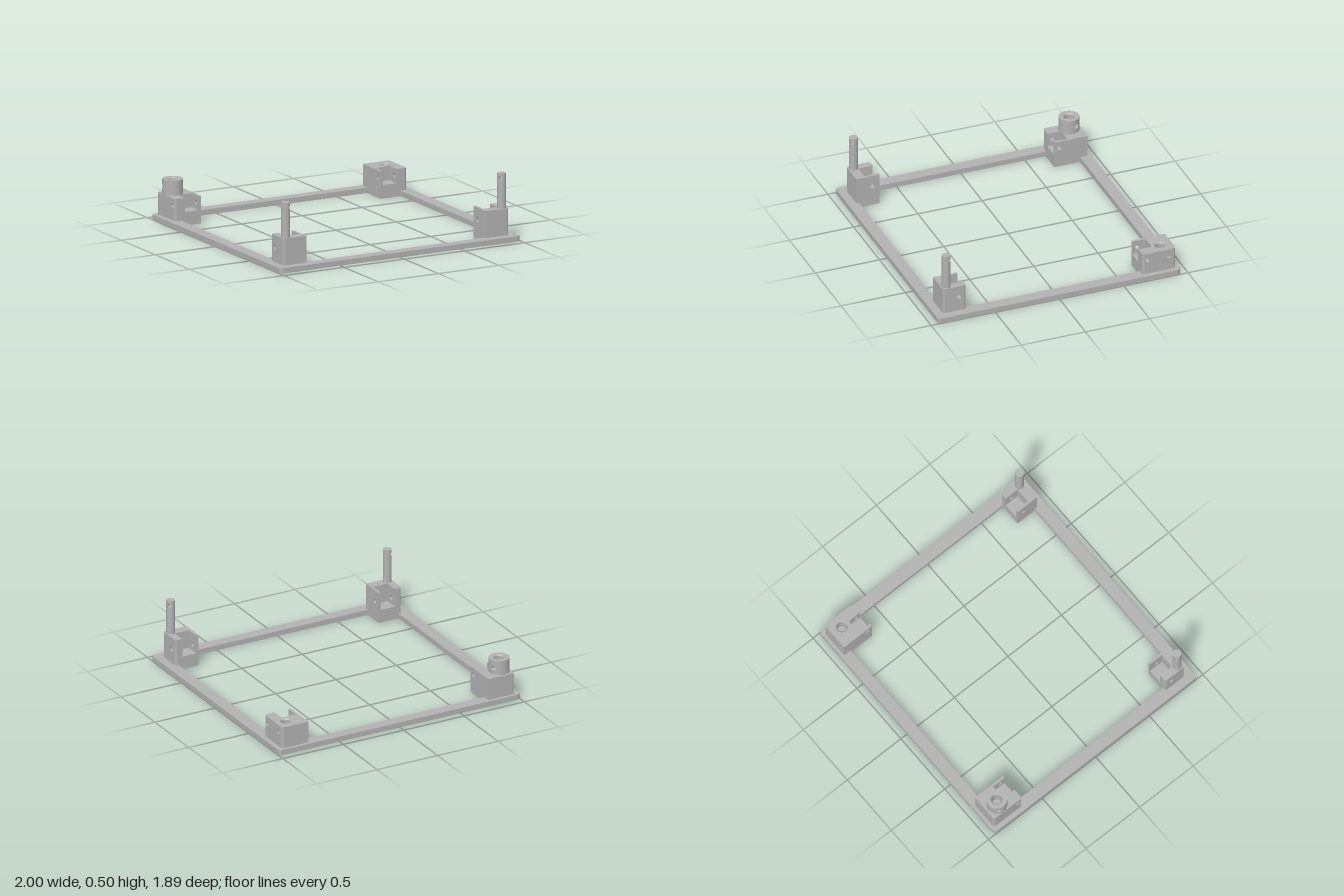
import * as THREE from 'three';
import { ParametricGeometry } from 'three/addons/geometries/ParametricGeometry.js';

const grey = new THREE.MeshStandardMaterial({ color: 0xb2b2b2, side: THREE.DoubleSide });
grey.name = 'plain grey';

const FLOOR = 0.1;      // pocket floor height
const R = 0.02;         // outer corner radius of the blocks
const BORE = 0.037;
const CHAMFER = 0.045;
const PATH = (x, y, r) => new THREE.Path().absarc(x, y, r, 0, Math.PI * 2, true);

function add(parent, name, geometry, x = 0, y = 0, z = 0) {
  const mesh = new THREE.Mesh(geometry, grey);
  mesh.name = name;
  mesh.position.set(x, y, z);
  parent.add(mesh);
  return mesh;
}

function rectShape(x0, y0, x1, y1) {
  return new THREE.Shape([[x0, y0], [x1, y0], [x1, y1], [x0, y1]].map(p => new THREE.Vector2(...p)));
}

function extrude(shape, depth) {
  return new THREE.ExtrudeGeometry(shape, { depth, bevelEnabled: false, curveSegments: 24 });
}

function roundedRect(w, d, r) {
  const s = new THREE.Shape();
  s.absarc(w - r, d - r, r, 0, Math.PI / 2);
  s.absarc(-w + r, d - r, r, Math.PI / 2, Math.PI);
  s.absarc(-w + r, -d + r, r, Math.PI, Math.PI * 1.5);
  s.absarc(w - r, -d + r, r, Math.PI * 1.5, Math.PI * 2);
  return s;
}

// Upright plate across x with round holes given as [z, y, radius]
function plate(parent, name, x0, x1, z0, z1, y0, y1, holes) {
  const shape = rectShape(-z1, y0, -z0, y1);
  shape.holes = holes.map(([z, y, r]) => PATH(-z, y, r));
  add(parent, name, extrude(shape, x1 - x0).rotateY(Math.PI / 2), x0);
}

// Cylinder wall with a cross hole along its local x, offset by d in z;
// the tunnel stops at an inner bore of the given radius
function drilledWall(radius, y0, y1, hy, hr, d, half, bore) {
  const g = new THREE.Group();
  g.name = 'drilledWall';
  const a0 = Math.asin((d - half) / radius), a1 = Math.asin((d + half) / radius);
  const mid = (y0 + y1) / 2;
  for (const [from, to] of [[a1, Math.PI - a1], [Math.PI - a0, Math.PI * 2 + a0]]) {
    add(g, 'wallArc', new THREE.CylinderGeometry(radius, radius, y1 - y0, 24, 1, true,
      Math.PI / 2 - to, to - from), 0, mid, 0);
  }
  const depth = (r, z) => Math.sqrt(Math.max(0, r * r - z * z));
  for (const s of [1, -1]) {
    add(g, 'holeSurround', new ParametricGeometry((u, v, p) => {
      const a = -s * u * Math.PI * 2, c = Math.cos(a), n = Math.sin(a);
      const m = Math.max(Math.abs(c), Math.abs(n));
      const z = THREE.MathUtils.lerp(d + hr * c, d + half * c / m, v);
      const y = THREE.MathUtils.lerp(hy + hr * n, mid + (y1 - y0) / 2 * n / m, v);
      p.set(s * depth(radius, z), y, z);
    }, 32, 4));
    add(g, 'holeTunnel', new ParametricGeometry((u, v, p) => {
      const a = s * u * Math.PI * 2, z = d + hr * Math.cos(a);
      p.set(s * THREE.MathUtils.lerp(depth(bore, z), depth(radius, z), v), hy + hr * Math.sin(a), z);
    }, 32, 1));
  }
  return g;
}

function lathe(points, start = 0, length = Math.PI * 2) {
  return new THREE.LatheGeometry(points.map(p => new THREE.Vector2(...p)), 40, start, length);
}

function disc(radius) {
  return new THREE.CircleGeometry(radius, 40).rotateX(-Math.PI / 2);
}

function boreRim(parent, top, x, z) {
  add(parent, 'boreChamfer', lathe([[BORE, top - 0.01], [CHAMFER, top]]), x, 0, z);
}

// Corner block built for the +x +z corner: a solid body and a pocket between two drilled walls
function cornerBlock(name, { xo, zi, zo, zp, h, hz, bore, sideHole }) {
  const g = new THREE.Group();
  g.name = name;
  const xi = 0.745, p0 = 0.765, p1 = 0.88, xs = xo - R;
  const hole = [hz, 0.15, 0.017];
  add(g, 'blockBase', new THREE.BoxGeometry(xs - xi, FLOOR, zo - zi),
    (xi + xs) / 2, FLOOR / 2, (zi + zo) / 2);
  const plan = rectShape(xi, -zo, xs, -zp);
  if (bore) plan.holes.push(PATH(bore[0], -bore[1], CHAMFER));
  add(g, 'blockBody', extrude(plan, h - FLOOR).rotateX(-Math.PI / 2), 0, FLOOR, 0);
  plate(g, 'innerWall', xi, p0, zi, zp, FLOOR, h, [hole]);
  plate(g, 'outerWall', p1, xs, zi, zp, FLOOR, h, [hole]);
  plate(g, 'outerFace', xs, xo, zi + R, zo - R, 0, h, sideHole ? [hole, sideHole] : [hole]);
  // rounded upright edges
  add(g, 'roundedEdge', new THREE.CylinderGeometry(R, R, h, 8, 1, false, 0, Math.PI / 2), xs, h / 2, zo - R);
  add(g, 'roundedEdge', new THREE.CylinderGeometry(R, R, h, 8, 1, false, Math.PI / 2, Math.PI / 2), xs, h / 2, zi + R);
  if (bore) {
    add(g, 'boreWall', lathe([[BORE, FLOOR], [BORE, h - 0.01]]), bore[0], 0, bore[1]);
    boreRim(g, h, ...bore);
  }
  return g;
}

// Upright pin with a diagonal cross hole near its top
function pin() {
  const g = new THREE.Group();
  g.name = 'pin';
  const r = 0.032;
  add(g, 'pinShaft', new THREE.CylinderGeometry(r, r, 0.23, 32, 1, true), 0, 0.315, 0);
  g.add(drilledWall(r, 0.43, 0.5, 0.465, 0.014, 0, 0.024, 0));
  add(g, 'pinTop', disc(r), 0, 0.5, 0);
  g.position.set(0.897, 0, 0.842);
  g.rotation.y = Math.PI / 4;
  return g;
}

// Hollow round collar with an offset cross hole
function collar(base) {
  const g = new THREE.Group();
  g.name = 'collar';
  const r = 0.076, top = 0.315, hy = 0.255, hr = 0.017, d = 0.035;
  g.add(drilledWall(r, base, top, hy, hr, d, 0.03, BORE));
  add(g, 'collarTop', new THREE.RingGeometry(CHAMFER, r, 40).rotateX(-Math.PI / 2), 0, top, 0);
  boreRim(g, top, 0, 0);
  add(g, 'boreLower', lathe([[BORE, base], [BORE, hy - hr]]));
  add(g, 'boreUpper', lathe([[BORE, hy + hr], [BORE, top - 0.01]]));
  const a = Math.acos((d - hr) / BORE);
  add(g, 'boreMiddle', lathe([[BORE, hy - hr], [BORE, hy + hr]], a, Math.PI * 2 - 2 * a));
  g.position.set(0.885, 0, 0.83);
  return g;
}

export function createModel() {
  const model = new THREE.Group();
  model.name = 'cornerPostFrame';

  // flat square frame
  const outline = roundedRect(1, 0.945, 0.03);
  outline.holes.push(new THREE.Path(rectShape(-0.91, -0.86, 0.91, 0.86).getPoints()));
  add(model, 'frame', extrude(outline, 0.04).rotateX(-Math.PI / 2));

  const front = { xo: 0.937, zi: 0.7, zo: 0.882, zp: 0.81, h: 0.24, hz: 0.755 };
  const back = { xo: 0.963, zi: 0.66, zo: 0.92, zp: 0.765, h: 0.205, hz: 0.7 };

  // front blocks with pins
  for (const s of [1, -1]) {
    const block = cornerBlock(s > 0 ? 'frontLeftBlock' : 'frontRightBlock', front);
    block.add(pin());
    block.scale.x = s;
    model.add(block);
  }

  // back blocks: one with a bore, one with a collar
  const socket = cornerBlock('backLeftBlock', { ...back, bore: [0.88, 0.83], sideHole: [0.865, 0.15, 0.017] });
  socket.scale.z = -1;
  const collared = cornerBlock('backRightBlock', back);
  collared.add(collar(back.h));
  collared.scale.set(-1, 1, -1);
  model.add(socket, collared);
  return model;
}
